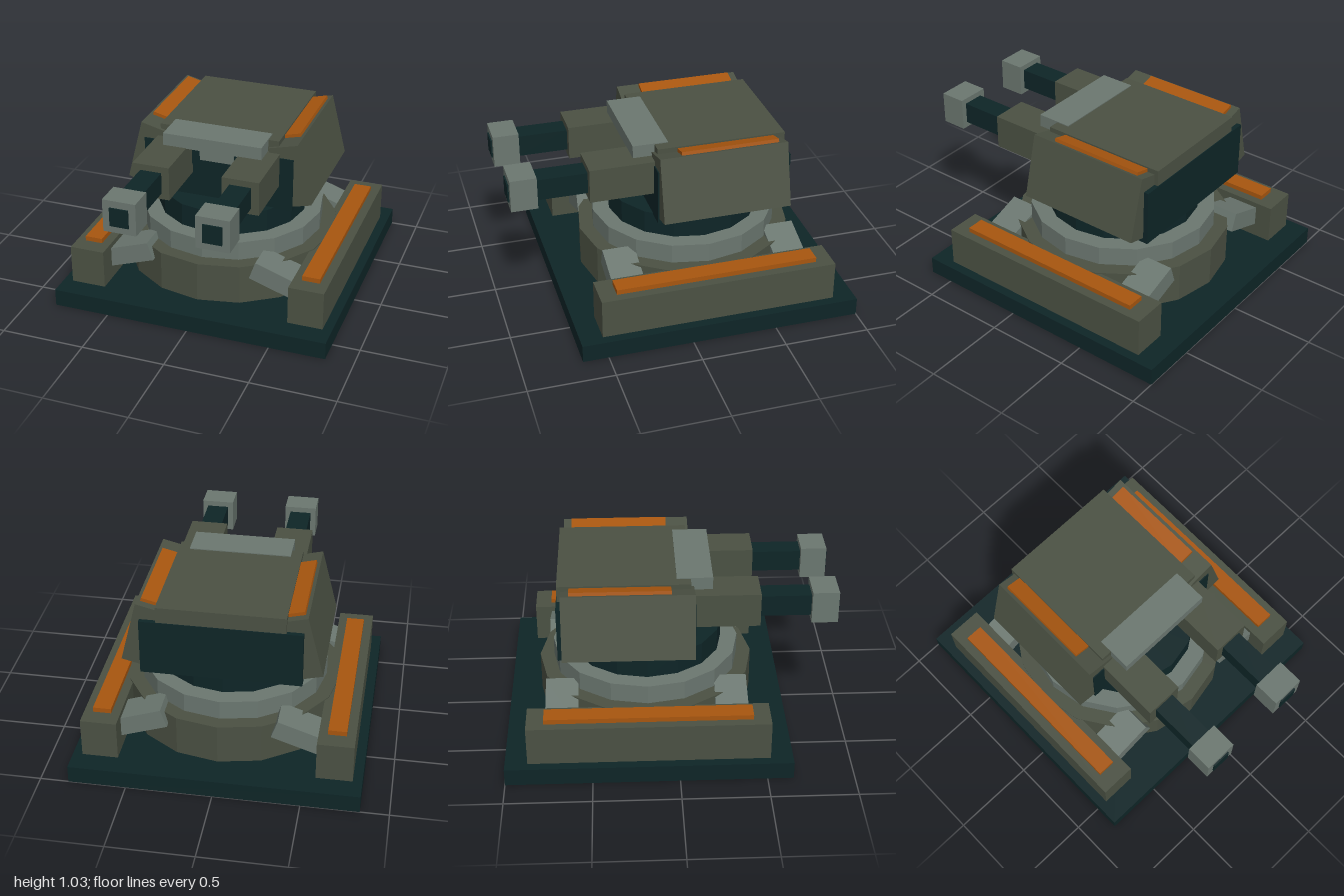
import * as THREE from 'three';

const mat = (name, color) => {
  const m = new THREE.MeshStandardMaterial({ color });
  m.name = name;
  return m;
};

export function createModel() {
  const olive = mat('olive armour', 0x4b5143);
  const dark = mat('dark metal', 0x0e2527);
  const grey = mat('grey metal', 0x6b7770);
  const orange = mat('orange marking', 0xa8560f);

  const model = new THREE.Group();
  model.name = 'gunTurret';

  // Box from its lower and upper bounds on each axis
  const box = (name, material, [x0, x1], [y0, y1], [z0, z1], parent = model) => {
    const mesh = new THREE.Mesh(new THREE.BoxGeometry(x1 - x0, y1 - y0, z1 - z0), material);
    mesh.position.set((x0 + x1) / 2, (y0 + y1) / 2, (z0 + z1) / 2);
    mesh.name = name;
    parent.add(mesh);
    return mesh;
  };

  // Sixteen-sided flat-faced drum around the turret axis
  const axisZ = -0.175;
  const drum = (name, material, radius, y0, y1) => {
    const geometry = new THREE.CylinderGeometry(radius, radius, y1 - y0, 16).toNonIndexed();
    geometry.computeVertexNormals();
    const mesh = new THREE.Mesh(geometry, material);
    mesh.position.set(0, (y0 + y1) / 2, axisZ);
    mesh.name = name;
    model.add(mesh);
  };

  // Base and rotating mount
  box('basePlate', dark, [-0.835, 0.835], [0, 0.105], [-1, 0.65]);
  drum('lowerDrum', olive, 0.64, 0.105, 0.348);
  drum('bearingRing', grey, 0.555, 0.348, 0.463);
  drum('neck', dark, 0.455, 0.463, 0.6);

  // Turret body, roof and front fittings
  box('turretCore', dark, [-0.46, 0.46], [0.592, 0.925], [-0.685, 0.104]);
  box('roof', olive, [-0.365, 0.365], [0.92, 1.02], [-0.68, 0.08]);
  box('brow', grey, [-0.3, 0.3], [0.947, 1.025], [0, 0.207]);
  box('sightPanel', dark, [-0.16, 0.16], [0.812, 0.925], [0.1, 0.115]);
  box('sight', grey, [-0.105, 0.105], [0.845, 0.903], [0.114, 0.123]);

  for (const side of [1, -1]) {
    const span = (a, b) => (side > 0 ? [a, b] : [-b, -a]);

    // Side rails with warning strips
    box('sideRail', olive, span(0.57, 0.78), [0.105, 0.341], [-0.87, 0.52]);
    box('railStrip', orange, span(0.622, 0.728), [0.341, 0.37], [-0.77, 0.42]);

    // Sloping braces between drum and rail
    for (const z of [0.312, -0.672]) {
      const brace = box('brace', grey, [-0.18, 0.18], [-0.0575, 0.0575], [-0.095, 0.095]);
      brace.position.set(side * 0.488, 0.277, z);
      brace.rotation.z = -side * 0.33;
    }

    // Tilted cheek armour with a strip along its top
    const cheek = new THREE.Group();
    cheek.name = 'cheekArmour';
    cheek.position.set(side * 0.439, 0.813, 0);
    cheek.rotation.z = side * 0.246;
    box('cheekPlate', olive, [-0.09, 0.09], [-0.19, 0.19], [-0.657, 0.098], cheek);
    box('cheekStrip', orange, span(-0.03, 0.07), [0.19, 0.21], [-0.61, -0.035], cheek);
    model.add(cheek);

    // Twin guns
    const gun = new THREE.Group();
    gun.name = 'gun';
    gun.position.set(side * 0.267, 0.848, 0);
    box('gunSleeve', olive, [-0.11, 0.11], [-0.102, 0.102], [0.08, 0.478], gun);
    box('barrel', dark, [-0.064, 0.064], [-0.064, 0.064], [0.478, 0.775], gun);
    box('muzzle', grey, [-0.097, 0.097], [-0.097, 0.097], [0.772, 0.925], gun);
    box('bore', dark, [-0.055, 0.055], [-0.055, 0.055], [0.925, 0.934], gun);
    model.add(gun);
  }

  return model;
}
